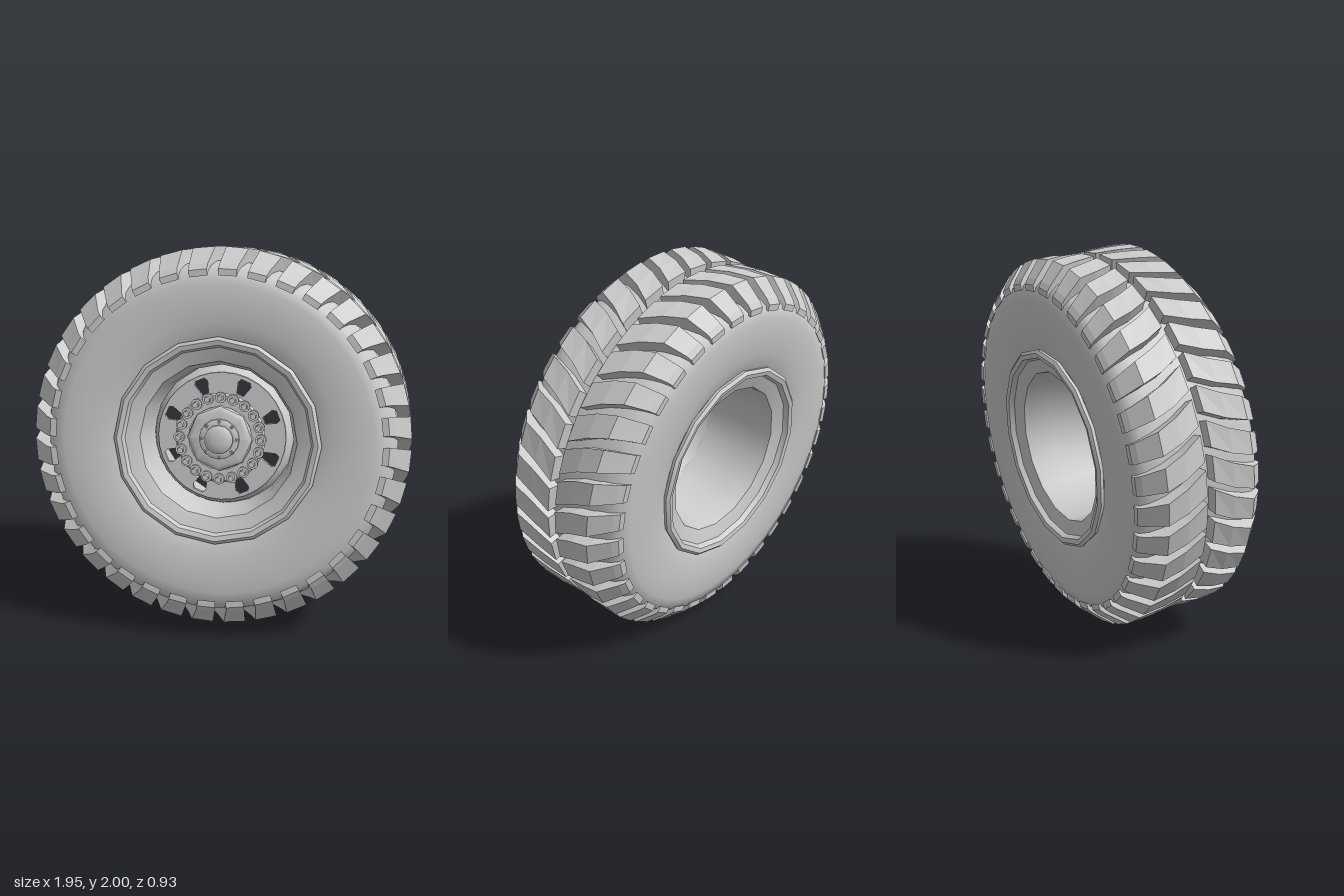
import * as THREE from 'three';
import { toCreasedNormals } from 'three/addons/utils/BufferGeometryUtils.js';

const grey = new THREE.MeshStandardMaterial({ color: 0xcccccc, side: THREE.DoubleSide });
const faceted = new THREE.MeshStandardMaterial({ color: 0xcccccc, side: THREE.DoubleSide, flatShading: true });

function add(parent, name, geometry, material = grey) {
  const mesh = new THREE.Mesh(geometry, material);
  mesh.name = name;
  parent.add(mesh);
  return mesh;
}

// Turned part around the z axle; profile points are [radius, z]
function turned(profile, segments, crease = 0.6) {
  const geo = new THREE.LatheGeometry(profile.map(([r, z]) => new THREE.Vector2(r, z)), segments);
  geo.rotateX(Math.PI / 2);
  return toCreasedNormals(geo, crease);
}

const LUGS = 36;
const PITCH = (Math.PI * 2) / LUGS;

// One swept tread lug: [z, outer radius, inner radius, angular sweep, half width in pitches] sections
function lugGeometry(side) {
  const sections = [
    [0.022, 0.968, 0.895, 0, 0.38], [0.13, 0.977, 0.895, 0.06, 0.36],
    [0.24, 0.977, 0.875, 0.1, 0.335], [0.325, 0.895, 0.845, 0.125, 0.31], [0.346, 0.868, 0.835, 0.13, 0.31],
  ];
  const pos = [], index = [];
  for (const [z, outer, inner, sweep, width] of sections) {
    const half = width * PITCH;
    for (const [r, a] of [[inner, -half], [outer, -half], [outer, half], [inner, half]]) {
      pos.push(r * Math.cos(a + sweep), r * Math.sin(a + sweep), z * side);
    }
  }
  const quad = (a, b, c, d) => (side > 0 ? index.push(a, b, c, a, c, d) : index.push(a, c, b, a, d, c));
  const last = (sections.length - 1) * 4;
  for (let s = 0; s < last; s += 4) {
    for (let k = 0; k < 4; k++) {
      const i = s + k, j = s + ((k + 1) % 4);
      quad(i, j, j + 4, i + 4);
    }
  }
  quad(3, 2, 1, 0);
  quad(last, last + 1, last + 2, last + 3);
  const geo = new THREE.BufferGeometry();
  geo.setAttribute('position', new THREE.Float32BufferAttribute(pos, 3));
  geo.setIndex(index);
  const flat = geo.toNonIndexed();
  flat.computeVertexNormals();
  return flat;
}

// Wheel disc with eight tapered vent slots
function discGeometry() {
  const shape = new THREE.Shape();
  shape.absarc(0, 0, 0.335, 0, Math.PI * 2);
  const slot = [[0.236, -0.018], [0.295, -0.036], [0.315, -0.026], [0.315, 0.026], [0.295, 0.036], [0.236, 0.018]];
  for (let i = 0; i < 8; i++) {
    const a = (i + 0.5) * Math.PI / 4, c = Math.cos(a), s = Math.sin(a);
    shape.holes.push(new THREE.Path(slot.map(([x, y]) => new THREE.Vector2(x * c - y * s, x * s + y * c))));
  }
  const geo = new THREE.ExtrudeGeometry(shape, { depth: 0.025, bevelEnabled: false, curveSegments: 16 });
  return geo.translate(0, 0, 0.14);
}

// Ring of washers and nuts
function boltRing(parent, name, count, radius, z, size) {
  const ring = new THREE.Group();
  ring.name = name;
  const washer = new THREE.CylinderGeometry(size, size, size * 0.8, 10).rotateX(Math.PI / 2);
  const nut = new THREE.CylinderGeometry(size * 0.55, size * 0.62, size * 1.2, 6).rotateX(Math.PI / 2);
  for (let i = 0; i < count; i++) {
    const a = (i / count) * Math.PI * 2;
    const x = radius * Math.cos(a), y = radius * Math.sin(a);
    add(ring, 'washer', washer, faceted).position.set(x, y, z);
    add(ring, 'nut', nut, faceted).position.set(x, y, z + size * 0.8);
  }
  parent.add(ring);
}

export function createModel() {
  const model = new THREE.Group();
  model.name = 'wheel';
  const wheel = new THREE.Group();
  wheel.name = 'tiltedWheel';
  wheel.position.y = 1;
  wheel.rotation.x = -0.139;
  model.add(wheel);

  // Tyre carcass: mirrored sidewalls joined by the tread base
  const halfTyre = [[0.47, 0.3], [0.52, 0.325], [0.6, 0.342], [0.7, 0.349], [0.79, 0.346],
    [0.855, 0.333], [0.885, 0.29], [0.907, 0.22]];
  const tyre = [...halfTyre.map(([r, z]) => [r, -z]), [0.91, 0], ...halfTyre.slice().reverse()];
  add(wheel, 'tyreCarcass', turned(tyre, 48, 0.9));

  // Chevron tread: two staggered rows of lugs
  for (const side of [1, -1]) {
    const row = new THREE.Group();
    row.name = side > 0 ? 'frontTread' : 'backTread';
    const lug = lugGeometry(side);
    for (let i = 0; i < LUGS; i++) {
      add(row, 'treadLug', lug, faceted).rotation.z = (i + (side > 0 ? 0 : 0.35)) * PITCH;
    }
    wheel.add(row);
  }

  // Rim: rolled flanges at both ends and a stepped barrel
  const lip = [[0.47, 0.3], [0.525, 0.325], [0.532, 0.345], [0.515, 0.358], [0.49, 0.352],
    [0.478, 0.325], [0.43, 0.31], [0.405, 0.3], [0.4, 0.275]];
  add(wheel, 'frontRim', turned([...lip, [0.39, 0.24], [0.378, 0.19], [0.37, 0.08]], 16));
  add(wheel, 'backRim', turned([...lip.map(([r, z]) => [r, -z]), [0.39, -0.15], [0.37, 0.08]], 16));

  // Disc, its dished outer skirt and the raised collar behind the nuts
  add(wheel, 'wheelDisc', discGeometry(), faceted);
  add(wheel, 'discSkirt', turned([[0.372, 0.07], [0.358, 0.12], [0.33, 0.155]], 32));
  add(wheel, 'hubFlange', turned([[0.215, 0.16], [0.228, 0.185], [0.236, 0.215], [0.225, 0.226], [0.165, 0.226]], 20));
  boltRing(wheel, 'wheelNuts', 20, 0.212, 0.23, 0.029);

  // Hub body, cap and dome
  add(wheel, 'hubBody', turned([[0.175, 0.21], [0.168, 0.24], [0.15, 0.252], [0.09, 0.254]], 8));
  add(wheel, 'hubCap', turned([[0.106, 0.245], [0.104, 0.264], [0.094, 0.27], [0.065, 0.27]], 16));
  add(wheel, 'hubDome', turned([[0.076, 0.262], [0.074, 0.284], [0.06, 0.294], [0.03, 0.299], [0, 0.3]], 14));
  boltRing(wheel, 'capBolts', 8, 0.09, 0.269, 0.011);

  return model;
}
